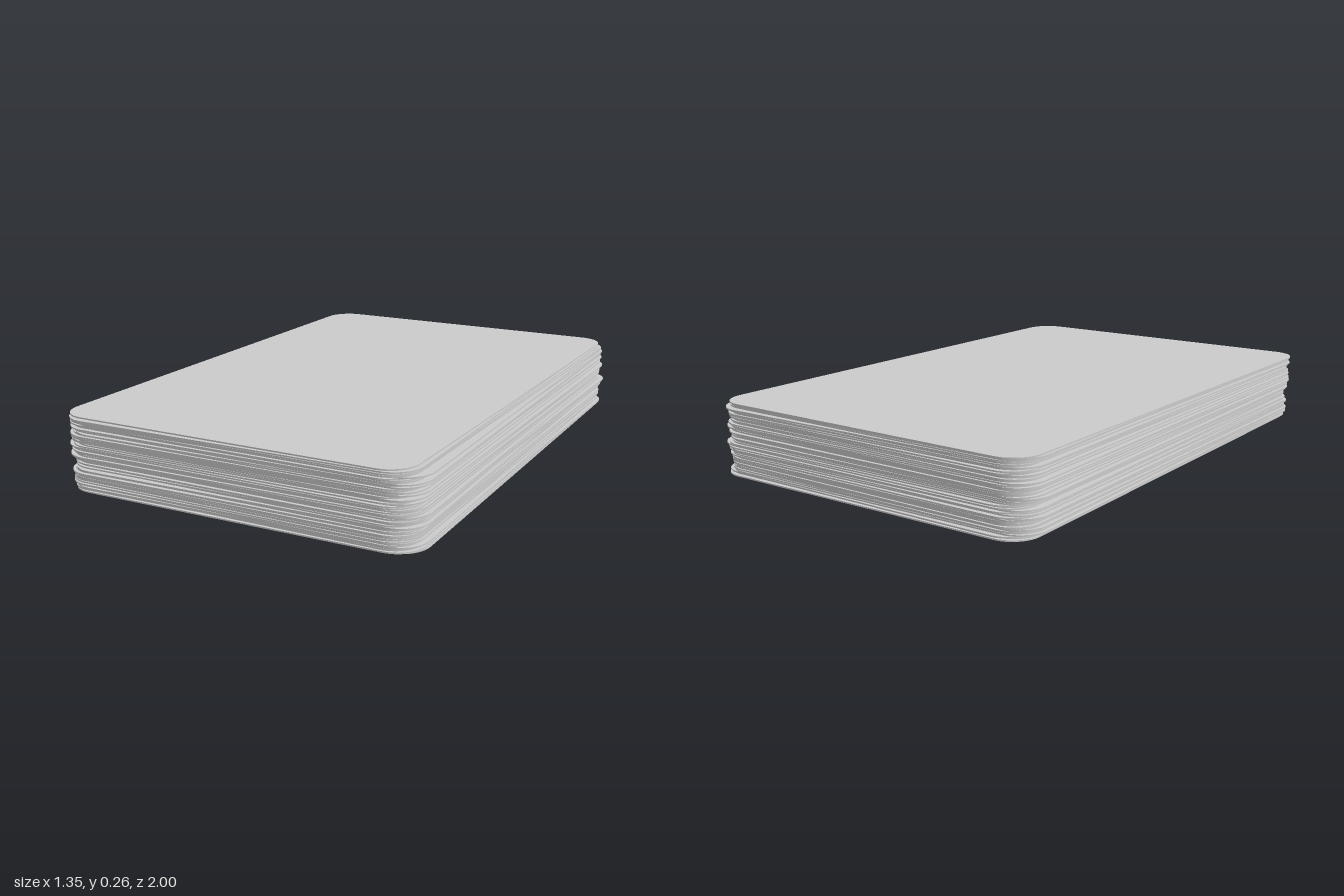
import * as THREE from 'three';

const COUNT = 52, WIDTH = 1.305, LENGTH = 1.968, RADIUS = 0.1, HEIGHT = 0.26;

// Rounded card outline, extruded upward
function cardGeometry(thickness) {
  const w = WIDTH / 2, l = LENGTH / 2, r = RADIUS;
  const shape = new THREE.Shape();
  shape.absarc(w - r, l - r, r, 0, Math.PI / 2);
  shape.absarc(r - w, l - r, r, Math.PI / 2, Math.PI);
  shape.absarc(r - w, r - l, r, Math.PI, Math.PI * 1.5);
  shape.absarc(w - r, r - l, r, Math.PI * 1.5, Math.PI * 2);
  shape.closePath();
  const geometry = new THREE.ExtrudeGeometry(shape, { depth: thickness, bevelEnabled: false, curveSegments: 8 });
  return geometry.rotateX(-Math.PI / 2);
}

// Small seeded generator, returning -1..1
function seededJitter(seed) {
  return () => {
    seed = (seed * 16807) % 2147483647;
    return (seed / 2147483647) * 2 - 1;
  };
}

export function createModel() {
  const deck = new THREE.Group();
  deck.name = 'cardDeck';
  const material = new THREE.MeshStandardMaterial({ color: 0xcccccc });
  const pitch = HEIGHT / COUNT;
  const geometry = cardGeometry(pitch);
  const jitter = seededJitter(4711);

  // Loosely squared stack: each card slips and turns a little
  for (let i = 0; i < COUNT; i++) {
    const card = new THREE.Mesh(geometry, material);
    card.name = `card${i + 1}`;
    card.position.set(jitter() * 0.015, i * pitch, jitter() * 0.008);
    card.rotation.y = jitter() * 0.012;
    if (i === 0) {
      // bottom card
      card.position.set(0.007, 0, -0.008);
      card.rotation.y = 0.004;
    } else if (i === COUNT - 1) {
      // top card
      card.position.set(-0.016, i * pitch, -0.01);
      card.rotation.y = -0.009;
    }
    deck.add(card);
  }
  return deck;
}
